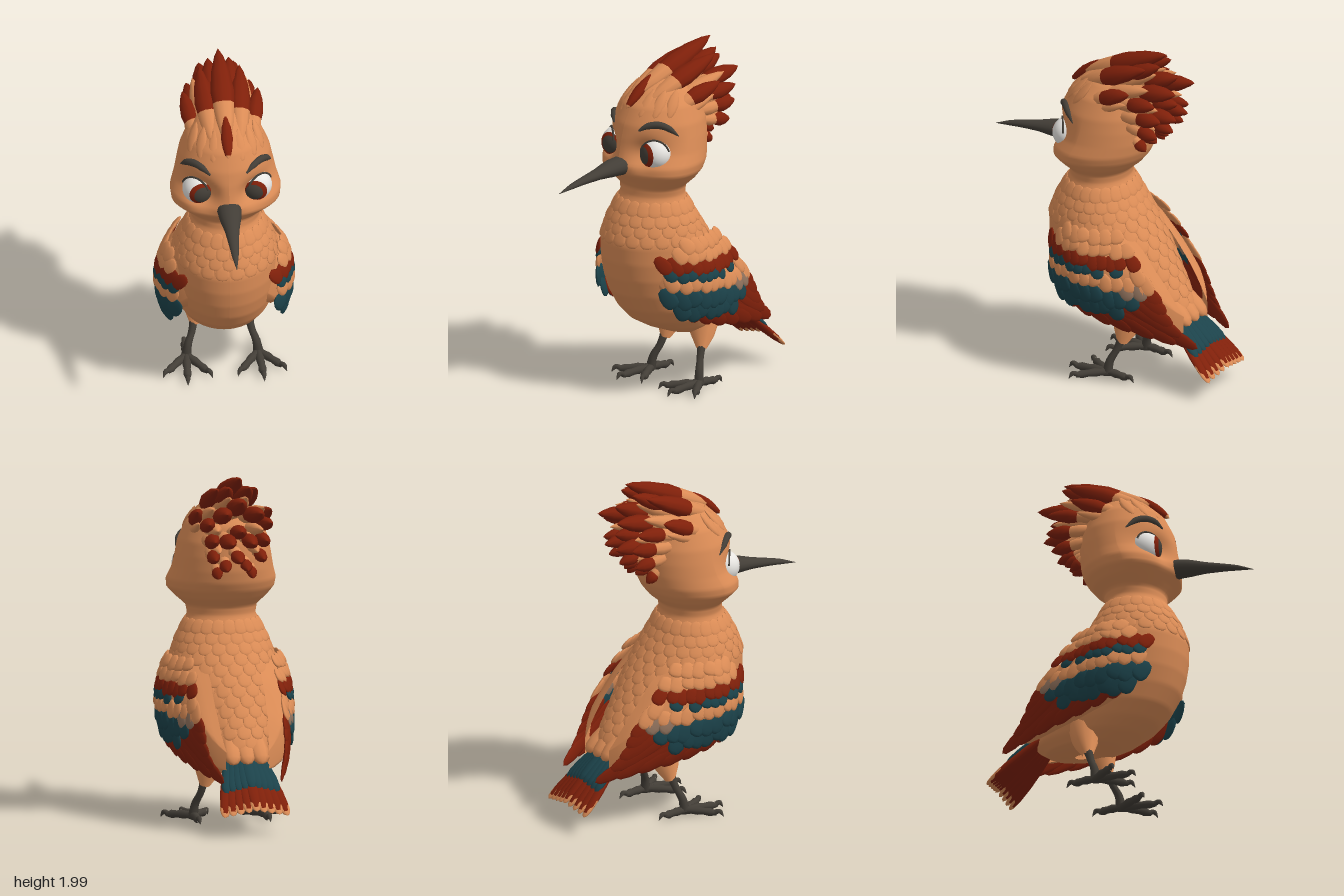
import * as THREE from 'three';

const V = (x, y, z) => new THREE.Vector3(x, y, z);
const mat = (name, color, side = THREE.FrontSide) => {
  const m = new THREE.MeshStandardMaterial({ color, side });
  m.name = name;
  return m;
};

// Torso and head cross-sections: height, front z, back z, half width, z of widest point
const RINGS = [
  [.285, -.2, -.3, .03, -.25], [.31, -.05, -.46, .14, -.22], [.36, .08, -.53, .2, -.15],
  [.42, .19, -.54, .235, -.1], [.5, .265, -.51, .265, -.05], [.6, .325, -.45, .285, -.03],
  [.7, .355, -.39, .3, 0], [.8, .37, -.33, .305, .02], [.9, .37, -.26, .3, .04],
  [1, .34, -.19, .275, .05], [1.1, .285, -.13, .225, .06], [1.17, .245, -.1, .195, .06],
  [1.22, .24, -.11, .205, .07], [1.27, .28, -.17, .262, .08], [1.32, .325, -.21, .308, .1],
  [1.37, .34, -.235, .315, .09], [1.44, .325, -.25, .292, .06], [1.52, .308, -.255, .275, .04],
  [1.6, .285, -.25, .258, .03], [1.7, .235, -.22, .215, .01], [1.78, .15, -.16, .145, 0],
  [1.83, .06, -.07, .06, 0], [1.84, .01, -.01, .01, 0],
];

// Point on the torso or head at height y and angle t from the front, with sockets for the eyes
function skin(y, t) {
  let i = 0;
  while (i < RINGS.length - 2 && RINGS[i + 1][0] < y) i++;
  const a = RINGS[i], b = RINGS[i + 1];
  const k = (y - a[0]) / (b[0] - a[0]);
  const [, f, r, w, m] = a.map((v, j) => v + (b[j] - v) * k);
  const c = Math.cos(t), x = w * Math.sin(t), p = 1 + .4 * Math.exp(-(((y - 1.46) / .1) ** 2));
  if (c <= 0) return V(x, y, m + (m - r) * c);
  const socket = .075 * Math.exp(-((Math.abs(x) - .14) ** 2 + (y - 1.442) ** 2) / .0055);
  return V(x, y, m + (f - m) * c ** p - socket);
}

// Piecewise linear lookup in [key, value] pairs with falling keys
function lookup(table, x) {
  let i = 0;
  while (i < table.length - 2 && table[i + 1][0] > x) i++;
  const [a, b] = [table[i], table[i + 1]];
  return a[1] + (b[1] - a[1]) * (x - a[0]) / (b[0] - a[0]);
}

// Grid surface from a point function of u, v in 0..1
function grid(fn, nu, nv, flip = false) {
  const pos = [], idx = [];
  for (let i = 0; i <= nu; i++) for (let j = 0; j <= nv; j++) pos.push(...fn(i / nu, j / nv).toArray());
  for (let i = 0; i < nu; i++) for (let j = 0; j < nv; j++) {
    const a = i * (nv + 1) + j, b = a + 1, c = a + nv + 1, d = c + 1;
    idx.push(...(flip ? [a, d, b, a, c, d] : [a, b, d, a, d, c]));
  }
  const g = new THREE.BufferGeometry();
  g.setAttribute('position', new THREE.Float32BufferAttribute(pos, 3));
  g.setIndex(idx);
  g.computeVertexNormals();
  return g;
}

// Tube along points whose radius follows a list
function limb(points, radii, n = 20, sides = 10) {
  const curve = new THREE.CatmullRomCurve3(points);
  const g = new THREE.TubeGeometry(curve, n, 1, sides);
  const p = g.attributes.position, v = V();
  for (let i = 0; i < p.count; i++) {
    const u = Math.floor(i / (sides + 1)) / n, s = u * (radii.length - 1);
    const k = Math.min(Math.floor(s), radii.length - 2);
    const r = radii[k] + (radii[k + 1] - radii[k]) * (s - k), c = curve.getPointAt(u);
    v.fromBufferAttribute(p, i).sub(c).multiplyScalar(r).add(c);
    p.setXYZ(i, v.x, v.y, v.z);
  }
  return g;
}

const lathe = (pts, n) => new THREE.LatheGeometry(pts.map(([r, y]) => new THREE.Vector2(r, y)), n);
const BLUNT = lathe([[0, 0], [.3, .08], [.46, .35], [.5, .65], [.42, .85], [.25, .96], [0, 1]], 10);
const POINTED = lathe([[0, 0], [.25, .08], [.42, .26], [.5, .46], [.4, .7], [.19, .9], [0, 1]], 10);

export function createModel() {
  const model = new THREE.Group();
  const orange = mat('orange plumage', 0xdb8c56, THREE.DoubleSide);
  const red = mat('rust red', 0x80200a), teal = mat('teal', 0x1c434b);
  const grey = mat('dark grey', 0x433e37), white = mat('eye white', 0xe9e7e3);
  const taupe = mat('taupe', 0x8f715c);

  const add = (name, geo, m, parent = model) => {
    const mesh = new THREE.Mesh(geo, m);
    mesh.name = name;
    parent.add(mesh);
    return mesh;
  };
  const group = (name) => {
    const g = new THREE.Group();
    g.name = name;
    model.add(g);
    return g;
  };
  // Flattened feather from base to tip, facing along normal
  const feather = (parent, name, geo, m, base, tip, normal, w, th) => {
    const y = tip.clone().sub(base), len = y.length();
    y.normalize();
    const x = y.clone().cross(normal).normalize(), z = x.clone().cross(y);
    const mesh = add(name, geo, m, parent);
    mesh.quaternion.setFromRotationMatrix(new THREE.Matrix4().makeBasis(x, y, z));
    mesh.position.copy(base);
    mesh.scale.set(w, len, th);
  };

  // Body and head in one smooth skin
  add('bodyAndHead', grid((u, v) => skin(.285 + u * 1.555, v * Math.PI * 2), 120, 96), orange);

  // Scalloped feathers on collar and back
  const scales = group('bodyFeathers');
  for (let r = 0; r < 12; r++) {
    const y = 1.15 - r * .055, n = 22;
    for (let i = 0; i < n; i++) {
      const t = (i + (r % 2) / 2) / n * Math.PI * 2;
      if (r > 3 && Math.abs(t - Math.PI) > 1) continue;
      const a = skin(y, t), b = skin(y - .085, t);
      const normal = skin(y, t + .05).sub(a).cross(a.clone().sub(b)).normalize();
      feather(scales, 'bodyFeather', BLUNT, orange, a, b.addScaledVector(normal, .004), normal, .085, .016);
    }
  }

  // Wings: a domed shell covered by coloured rows of feathers
  const TOP = [[.25, .82], [.15, .95], [0, 1], [-.15, .96], [-.3, .82], [-.45, .63], [-.56, .46]];
  const LOW = [[.25, .74], [.2, .61], [.1, .52], [0, .47], [-.2, .41], [-.4, .37], [-.56, .35]];
  const wingX = (z, y) => {
    const y0 = .68 + .5 * Math.min(z, 0);
    return .385 - (z < 0 ? .38 * Math.pow(-z, 1.4) : 1.8 * z * z) - .9 * (y - y0) ** 2;
  };
  // Rows: colour, base height, slope with z, front z, back z, count, length, width
  const ROWS = [
    [teal, .6, .06, .18, -.19, 7, .14, .1], [teal, .665, .1, .25, -.29, 9, .13, .1],
    [orange, .74, .1, .23, -.34, 10, .1, .085], [teal, .79, .1, .23, -.1, 7, .085, .08],
    [red, .845, .1, .26, -.17, 9, .1, .085], [orange, .9, .05, .17, -.24, 8, .09, .09],
    [orange, .95, .0, .12, -.17, 6, .09, .09],
  ];
  // Long flight feathers: base z, base y, tip z, tip y
  const FLIGHT = [
    [.14, .6, .03, .46], [.08, .57, -.08, .43], [.03, .55, -.2, .4], [-.03, .54, -.32, .375],
    [-.09, .54, -.45, .35], [-.15, .54, -.57, .325], [-.2, .55, -.68, .305],
    [-.25, .57, -.6, .37], [-.3, .6, -.55, .43], [-.33, .64, -.51, .5], [-.34, .67, -.48, .55],
  ];
  // Single coloured feathers behind the rows: colour, base z, base y, tip z, tip y
  const SPOTS = [
    [taupe, -.31, .68, -.4, .58], [taupe, -.24, .67, -.33, .58], [orange, -.34, .73, -.43, .61],
    [orange, -.3, .76, -.38, .66], [teal, -.2, .78, -.25, .7], [red, -.2, .83, -.26, .74], [red, -.27, .82, -.34, .74],
  ];
  for (const s of [1, -1]) {
    const wing = group(s > 0 ? 'leftWing' : 'rightWing');
    add('wingShell', grid((u, v) => {
      const z = .25 - u * .81, lo = lookup(LOW, z), y = lo + (lookup(TOP, z) - lo) * v;
      const edge = Math.max(Math.abs(2 * u - 1), Math.abs(2 * v - 1)) ** 5;
      return V(s * (wingX(z, y) - .09 * edge), y, z);
    }, 28, 20, s > 0), orange, wing);
    const put = (name, geo, m, z, y, tz, ty, w, lift) => {
      const at = (pz, py, d) => V(s * (wingX(pz, py) + d), py, pz);
      const mz = (z + tz) / 2, my = (y + ty) / 2;
      const dy = (wingX(mz, my + .01) - wingX(mz, my - .01)) / .02;
      const dz = (wingX(mz + .01, my) - wingX(mz - .01, my)) / .02;
      feather(wing, name, geo, m, at(z, y, 0), at(tz, ty, lift), V(s, -dy, -dz).normalize(), w, .026);
    };
    FLIGHT.forEach(([z, y, tz, ty]) => put('flightFeather', BLUNT, red, z, y, tz, ty, .095, .004));
    for (const [m, y, slope, z0, z1, n, len, w] of ROWS) for (let i = 0; i < n; i++) {
      const z = z0 + (z1 - z0) * i / (n - 1), by = y + slope * (z - .15);
      const l = len * (1 + .12 * Math.sin(i * 2.3));
      put('covertFeather', BLUNT, m, z, by, z - l * .5, by - l * .87, w, .012);
    }
    SPOTS.forEach(([m, z, y, tz, ty]) => put('rearCovert', BLUNT, m, z, y, tz, ty, .085, .014));
  }

  // Tail fan, arched across: teal, then red, then an orange tip
  const tail = group('tail');
  const tailUp = V(0, .7, -.7);
  for (let i = -4; i <= 4; i++) {
    const sag = Math.abs(i) * .008;
    const base = V(i * .02, .45 - sag, -.45), tip = V(i * .046, .15 - sag, -.785 + sag * .5);
    const at = (k, lift) => base.clone().lerp(tip, k).addScaledVector(tailUp, lift);
    feather(tail, 'tailTip', BLUNT, orange, at(.3, 0), at(1, 0), tailUp, .074, .03);
    feather(tail, 'tailRedBand', BLUNT, red, at(0, 0), at(.975, 0), tailUp, .08, .042);
    feather(tail, 'tailTealBand', BLUNT, teal, at(0, .014), at(.65, .014), tailUp, .08, .042);
  }
  for (const x of [-.07, 0, .07]) {
    feather(tail, 'rumpFeather', BLUNT, orange, V(x, .56, -.39), V(x * 1.2, .39, -.575), tailUp, .11, .07);
  }

  // Crest plume: orange shaft with a red end that starts at fraction k
  const crest = group('crest');
  const plume = (b, t, w, k, tipped = true) => {
    const dir = t.clone().sub(b);
    const normal = t.clone().sub(V(0, 1.5, 0)).cross(dir).cross(dir).negate().normalize();
    feather(crest, 'crestShaft', POINTED, orange, b, b.clone().lerp(t, tipped ? .85 : 1), normal, w * .9, w * .75);
    if (tipped) feather(crest, 'crestTip', POINTED, red, b.clone().lerp(t, k), t, normal, w, w * .85);
  };
  plume(V(0, 1.69, .27), V(0, 1.86, .07), .07, 0);
  plume(V(0, 1.76, .2), V(0, 1.995, -.37), .14, .12);
  plume(V(0, 1.72, -.02), V(0, 1.87, -.44), .12, .4);
  plume(V(0, 1.65, -.13), V(0, 1.7, -.44), .1, .4);
  plume(V(0, 1.58, -.17), V(0, 1.52, -.41), .085, .4);
  // base x y z, tip x y z, width, red start
  const SIDE = [
    [.08, 1.73, .17, .115, 1.925, -.3, .125, .12], [.15, 1.66, .1, .215, 1.795, -.25, .1, .25],
    [.05, 1.75, .05, .06, 1.94, -.36, .11, .35], [.07, 1.72, -.02, .1, 1.81, -.49, .115, .38],
    [.13, 1.68, -.03, .18, 1.74, -.4, .095, .38], [.07, 1.64, -.12, .06, 1.63, -.47, .1, .38],
    [.14, 1.62, -.1, .15, 1.64, -.42, .095, .4], [.13, 1.57, -.14, .14, 1.53, -.39, .085, .4],
    [.06, 1.53, -.19, .06, 1.46, -.34, .075, .35], [.1, 1.5, -.18, .1, 1.41, -.29, .07, .35],
  ];
  // Plain orange filler plumes between the red ones
  const FILL = [
    [.04, 1.73, .04, .05, 1.88, -.33, .13], [.11, 1.7, .04, .15, 1.82, -.34, .11],
    [.1, 1.66, -.05, .13, 1.7, -.39, .11], [.11, 1.6, -.1, .11, 1.57, -.36, .1],
    [.17, 1.62, .08, .2, 1.72, -.22, .08],
  ];
  for (const s of [1, -1]) {
    for (const [x, y, z, tx, ty, tz, w, k] of SIDE) plume(V(s * x, y, z), V(s * tx, ty, tz), w, k);
    for (const [x, y, z, tx, ty, tz, w] of FILL) plume(V(s * x, y, z), V(s * tx, ty, tz), w, 0, false);
  }
  // Short flat tufts around the front root of the crest
  for (const i of [-3, -2, -1, 1, 2, 3]) {
    const a = skin(1.65, i * .36), b = skin(1.77, i * .4);
    const out = V(a.x, .15, a.z).normalize();
    feather(crest, 'crestTuft', POINTED, orange, a, b.add(V(a.x * .08, .02, -.03)), out, .07, .03);
  }

  // Long curved beak
  const beak = add('beak', limb([V(0, 1.362, .29), V(0, 1.36, .36), V(0, 1.338, .53), V(0, 1.315, .67), V(0, 1.288, .78)],
    [.056, .048, .032, .023, .015, .001], 28, 16), grey);
  beak.scale.x = 1.3;

  // Eyes with lash lines, and brows
  const ball = new THREE.SphereGeometry(.09, 28, 20);
  const iris = new THREE.SphereGeometry(.0915, 28, 8, 0, Math.PI * 2, 0, .82);
  const pupil = new THREE.SphereGeometry(.093, 28, 8, 0, Math.PI * 2, 0, .57);
  for (const s of [1, -1]) {
    const eye = group(s > 0 ? 'leftEye' : 'rightEye');
    eye.position.set(s * .165, 1.442, .19);
    add('eyeball', ball, white, eye);
    const aim = (x) => new THREE.Quaternion().setFromUnitVectors(V(0, 1, 0), V(s * x, .02, 1).normalize());
    add('iris', iris, red, eye).quaternion.copy(aim(-.16));
    add('pupil', pupil, grey, eye).quaternion.copy(aim(-.24));
    const lash = add('lashLine', new THREE.TorusGeometry(.086, .006, 6, 24, Math.PI * .8), grey, eye);
    lash.rotation.set(0, s * .6, .1 * Math.PI);
    lash.position.set(s * .018, .002, .026);
    const brow = [[.4, 1.58], [.58, 1.608], [.82, 1.617], [1.04, 1.6], [1.26, 1.55]].map(([t, y]) => skin(y, s * t));
    add(s > 0 ? 'leftBrow' : 'rightBrow', limb(brow, [.006, .02, .022, .018, .003]), grey);
  }

  // Legs, toes and claws
  for (const s of [1, -1]) {
    const leg = group(s > 0 ? 'leftLeg' : 'rightLeg');
    const P = (x, y, z) => V(s * x, y, z);
    add('thigh', limb([P(.12, .42, -.2), P(.14, .31, -.185), P(.153, .215, -.165)], [.12, .09, .065, .03]), orange, leg);
    add('shank', limb([P(.153, .26, -.17), P(.17, .17, -.14), P(.195, .1, -.11), P(.205, .03, -.1)], [.03, .022, .02, .024, .03]), grey, leg);
    for (const [x, z] of [[.1, .05], [.215, .1], [.32, .03], [.205, -.225]]) {
      const dx = x - .205, dz = z + .1, l = Math.hypot(dx, dz);
      const ex = x + dx / l * .05, ez = z + dz / l * .05;
      add('toe', limb([P(.205, .035, -.1), P(.205 + dx * .5, .034, -.1 + dz * .5), P(x, .026, z), P(x + dx / l * .01, .024, z + dz / l * .01)],
        [.028, .021, .025, .02, .024, .012]), grey, leg);
      add('claw', limb([P(x, .03, z), P((x + ex) / 2, .038, (z + ez) / 2), P(ex, .006, ez)], [.016, .013, .001], 10, 8), grey, leg);
    }
  }
  return model;
}
